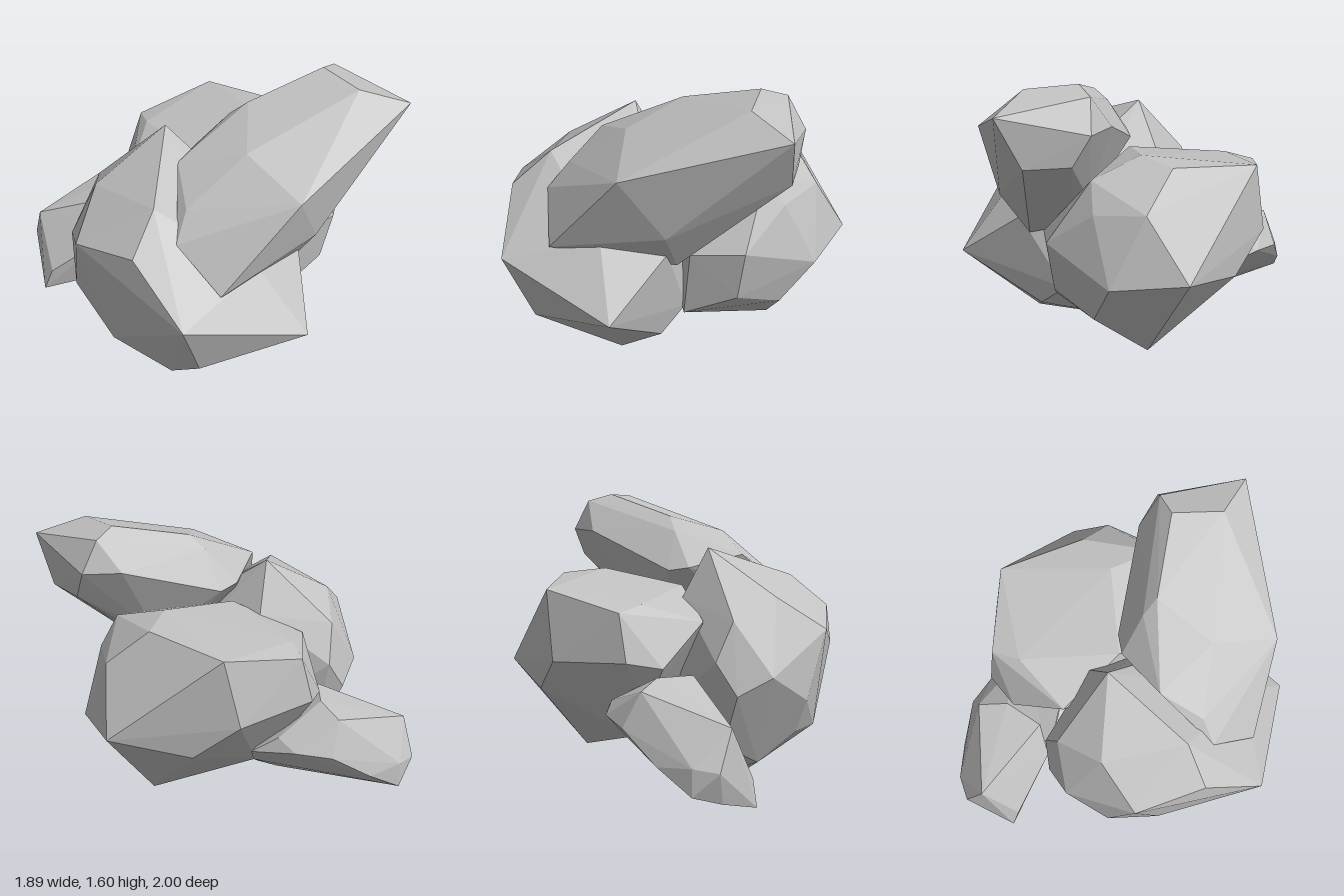
import * as THREE from 'three';
import { ConvexGeometry } from 'three/addons/geometries/ConvexGeometry.js';

const stone = new THREE.MeshStandardMaterial({ color: 0xc2c2c2 });
stone.name = 'grey stone';
stone.flatShading = true;

// A faceted boulder: the convex hull of a few corner points
function rock(name, corners) {
  const points = corners.map(([x, y, z]) => new THREE.Vector3(x, y, z));
  const mesh = new THREE.Mesh(new ConvexGeometry(points), stone);
  mesh.name = name;
  return mesh;
}

export function createModel() {
  const group = new THREE.Group();
  group.name = 'rockPile';

  // Large low boulder on the model's right
  group.add(rock('rightBoulder', [
    [-0.95, 0.69, 0.62], [-0.37, 0.49, 0.995], [-0.07, 0.76, 0.72],
    [-0.42, 0.82, 0.7], [-0.915, 0.97, 0.27], [-0.7, 1.15, 0.235],
    [-0.24, 1.33, -0.06], [-0.63, 1.08, -0.23], [-0.91, 0.89, -0.13],
    [-0.41, 0.97, -0.41], [-0.63, 0.67, -0.44], [-0.44, 0.57, -0.485],
    [-0.32, 0.75, -0.46], [-0.1, 1.05, -0.12], [-0.81, 0.51, -0.25],
    [-0.75, 0.31, -0.17], [-0.85, 0.3, 0.05], [-0.79, 0.335, 0.6],
    [-0.78, 0.2, 0.4], [-0.325, 0.1, 0.55], [-0.105, 0.205, 0.6],
    [-0.47, 0.0, 0.1], [-0.12, 0.04, 0.12], [-0.34, 0.02, -0.03],
    [-0.54, 0.13, -0.2], [-0.36, 0.26, -0.35], [0.03, 0.33, 0.5],
    [0.05, 0.7, 0.4], [-0.1, 0.5, -0.15],
  ]));

  // Large boulder on the model's left
  group.add(rock('leftBoulder', [
    [0.945, 0.63, 0.12], [0.74, 0.58, 0.48], [0.55, 0.35, 0.5],
    [0.515, 0.1, 0.18], [0.305, 0.45, 0.64], [0.34, 0.735, 0.69],
    [0.56, 0.935, 0.5], [0.755, 0.965, 0.28], [0.62, 1.16, 0.08],
    [0.39, 1.18, 0.17], [0.45, 1.09, 0.47], [0.61, 1.125, -0.41],
    [0.565, 0.74, -0.485], [0.18, 1.03, -0.6], [0.08, 1.06, -0.47],
    [0.135, 0.77, -0.645], [-0.05, 0.73, -0.57], [-0.24, 0.95, -0.32],
    [-0.08, 1.1, 0.06], [0.69, 0.54, -0.26], [0.15, 0.28, -0.28],
    [0.03, 0.24, 0.3], [0.02, 0.31, 0.55], [0.05, 0.7, 0.62],
    [0.05, 0.5, -0.45],
  ]));

  // Long slanted boulder resting on top
  group.add(rock('topBoulder', [
    [0.53, 1.485, 0.995], [0.34, 1.575, 0.785], [0.41, 1.595, 0.515],
    [0.55, 1.555, 0.5], [0.545, 1.21, 0.86], [0.605, 1.215, 0.62],
    [0.645, 1.38, 0.53], [0.5, 1.38, 0.37], [-0.28, 1.38, 0.51],
    [-0.32, 1.24, 0.88], [0.02, 1.48, 0.3], [-0.02, 1.4, 0.21],
    [-0.12, 1.2, 0.06], [0, 1.18, 0.08], [-0.42, 1.27, 0.17],
    [-0.59, 1.14, 0.36], [-0.71, 1.0, 0.39], [-0.69, 0.78, 0.66],
    [-0.08, 0.9, 0.83], [-0.02, 0.675, 0.68], [0.05, 0.72, 0.45],
    [-0.45, 0.8, 0.4], [0.2, 0.9, 0.4],
  ]));

  // Small boulder poking out at the back
  group.add(rock('backBoulder', [
    [-0.39, 0.3, -1], [-0.25, 0.32, -1], [-0.25, 0.17, -1],
    [-0.4, 0.12, -0.93], [-0.06, 0.3, -0.92], [0.135, 0.46, -0.79],
    [0.25, 0.485, -0.62], [0.24, 0.54, -0.5], [-0.44, 0.51, -0.9],
    [0.04, 0.65, -0.76], [-0.25, 0.6, -0.69], [-0.02, 0.69, -0.6],
    [-0.565, 0.06, -0.78], [-0.54, 0.2, -0.73], [-0.2, 0.68, -0.46],
    [-0.32, 0.45, -0.46], [0.3, 0.43, -0.36], [0.2, 0.31, -0.3],
    [-0.02, 0.16, -0.31], [0.08, 0.22, -0.25],
  ]));

  return group;
}
